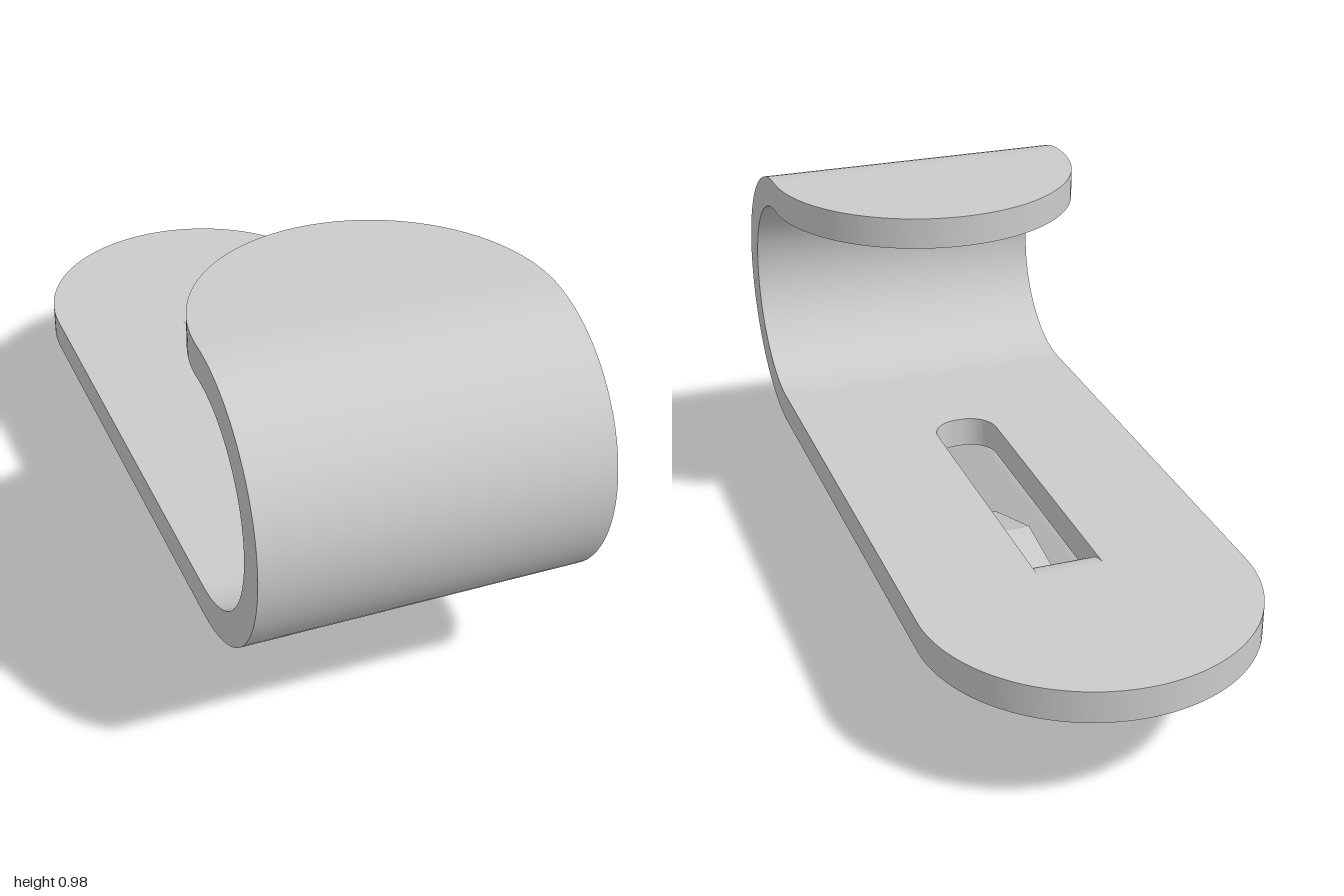
import * as THREE from 'three';
import { toCreasedNormals } from 'three/addons/utils/BufferGeometryUtils.js';

const HALF = 0.41;       // half width of the clip
const SLOT = 0.083;      // half width of the slot and tongue
const THICK = 0.08;      // sheet thickness
const RAD = Math.PI / 180;

const material = new THREE.MeshStandardMaterial({ color: 0xcccccc });

function mesh(name, geometry) {
  const m = new THREE.Mesh(toCreasedNormals(geometry, 0.35), material);
  m.name = name;
  return m;
}

// Stations along an arc in the z-y plane, heading from a0 to a1 degrees
function arc(cz, cy, r, a0, a1, w, steps) {
  const turn = Math.sign(a1 - a0);
  return Array.from({ length: steps + 1 }, (_, i) => {
    const a = (a0 + (a1 - a0) * i / steps) * RAD;
    return { z: cz + turn * r * Math.sin(a), y: cy - turn * r * Math.cos(a), a, w };
  });
}

// Sheet metal strip: a flat rectangular section carried along the stations
function strip(stations) {
  const rings = stations.map(({ z, y, a, w }) => {
    const nz = -Math.sin(a) * THICK / 2, ny = Math.cos(a) * THICK / 2;
    return [[-w, y + ny, z + nz], [w, y + ny, z + nz], [w, y - ny, z - nz], [-w, y - ny, z - nz]];
  });
  const pos = [];
  const quad = (a, b, c, d) => [a, b, c, a, c, d].forEach(p => pos.push(...p));
  for (let i = 0; i + 1 < rings.length; i++) {
    for (let k = 0; k < 4; k++) {
      const n = (k + 1) % 4;
      quad(rings[i][k], rings[i + 1][k], rings[i + 1][n], rings[i][n]);
    }
  }
  const e = rings[rings.length - 1];
  quad(e[0], e[3], e[2], e[1]);
  const g = new THREE.BufferGeometry();
  g.setAttribute('position', new THREE.Float32BufferAttribute(pos, 3));
  return g;
}

// Base plate with rounded back end and a slot, drawn with v = -z
function basePlate() {
  const s = new THREE.Shape();
  s.moveTo(-HALF, -0.645);
  s.lineTo(HALF, -0.645);
  s.lineTo(HALF, 0.59);
  s.absarc(0, 0.59, HALF, 0, Math.PI, false);
  s.closePath();

  const hole = new THREE.Path();
  const r = 0.075, front = -0.34;
  hole.moveTo(-SLOT, 0.5);
  hole.lineTo(SLOT, 0.5);
  hole.lineTo(SLOT, front + r);
  hole.absarc(SLOT - r, front + r, r, 0, -Math.PI / 2, true);
  hole.absarc(-SLOT + r, front + r, r, -Math.PI / 2, -Math.PI, true);
  hole.closePath();
  s.holes.push(hole);

  const g = new THREE.ExtrudeGeometry(s, { depth: THICK, bevelEnabled: false, curveSegments: 32 });
  g.rotateX(-Math.PI / 2);
  g.translate(0, 0.27, 0);
  return g;
}

// Half-round bend followed by the round-ended upper flap
function hook() {
  const stations = arc(0.645, 0.625, 0.315, 0, 180, HALF, 40);
  for (let i = 0; i <= 32; i++) {
    const t = i / 32 * Math.PI / 2;
    stations.push({ z: 0.64 - HALF * Math.sin(t), y: 0.94, a: Math.PI, w: Math.max(HALF * Math.cos(t), 0.002) });
  }
  return strip(stations);
}

// Spring tongue bent down from the back of the slot, with rounded tip corners
function tongue() {
  const stations = [
    ...arc(-0.5, 0.22, 0.09, 0, -90, SLOT, 16),
    ...arc(-0.31, 0.19, 0.1, -90, 9.5, SLOT, 16),
    { z: 0, y: 0.14, a: -5 * RAD, w: SLOT },
  ];
  const r = 0.045, a = -20 * RAD, tip = { z: 0.275, y: 0.04 };
  for (let i = 0; i <= 10; i++) {
    const t = i / 10 * Math.PI / 2, back = r * (1 - Math.sin(t));
    stations.push({
      z: tip.z - back * Math.cos(a), y: tip.y - back * Math.sin(a),
      a, w: SLOT - r + r * Math.cos(t),
    });
  }
  return strip(stations);
}

export function createModel() {
  const group = new THREE.Group();
  group.name = 'springClip';
  group.add(mesh('basePlate', basePlate()), mesh('hook', hook()), mesh('springTongue', tongue()));
  return group;
}
